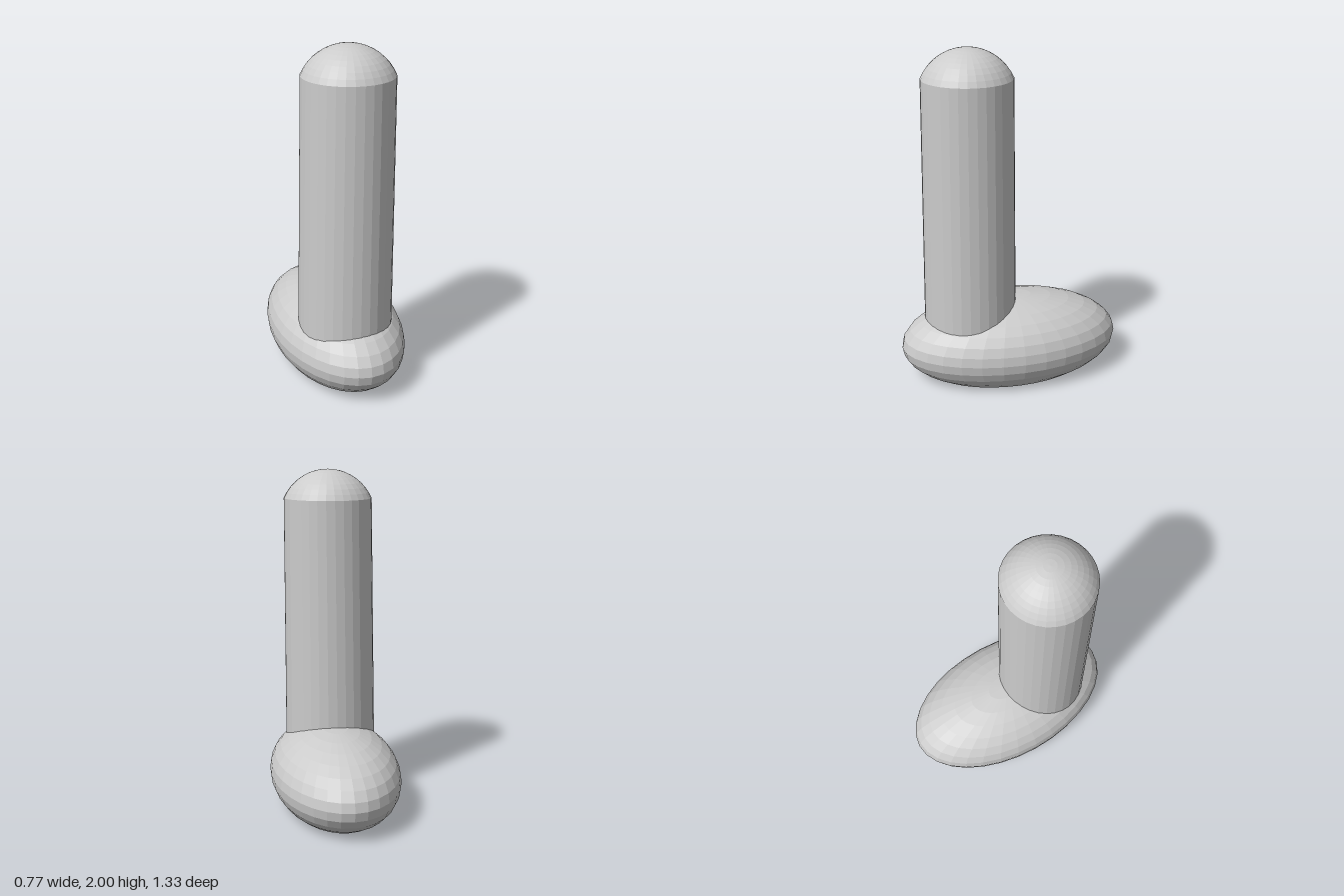
import * as THREE from 'three';

const SIDES = 32;

export function createModel() {
  const group = new THREE.Group();
  const material = new THREE.MeshStandardMaterial({ color: 0xcccccc, flatShading: true });
  const add = (name, geometry, x, y, z) => {
    const mesh = new THREE.Mesh(geometry, material);
    mesh.name = name;
    mesh.position.set(x, y, z);
    group.add(mesh);
    return mesh;
  };

  // Foot: ellipsoid cut off flat at the ground, 45 degrees below its equator
  const rx = 0.387, ry = 0.2 * Math.SQRT2, rz = 0.667;
  const foot = new THREE.SphereGeometry(1, SIDES, 12, 0, Math.PI * 2, 0, Math.PI * 0.75);
  foot.scale(rx, ry, rz);
  add('foot', foot, 0, 0.2, 0);

  // Sole: flat ellipse closing the cut
  const sole = new THREE.CircleGeometry(Math.SQRT1_2, SIDES);
  sole.rotateX(Math.PI / 2);
  sole.scale(rx, 1, rz);
  add('sole', sole, 0, 0, 0);

  // Leg: slightly tapered column whose lower end drifts to the right
  const legBottom = 0.33, legTop = 1.83, topRadius = 0.262, legZ = 0.243;
  const height = legTop - legBottom;
  const leg = new THREE.CylinderGeometry(topRadius, 0.276, height, SIDES, 1, true);
  leg.translate(0, -height / 2, 0);
  const p = leg.attributes.position;
  for (let i = 0; i < p.count; i++) p.setX(i, p.getX(i) + 0.014 * p.getY(i) / height);
  add('leg', leg, 0, legTop, legZ);

  // Rounded top: shallow spherical cap
  const rise = 2 - legTop;
  const capRadius = (topRadius ** 2 + rise ** 2) / (2 * rise);
  const cap = new THREE.SphereGeometry(capRadius, SIDES, 9, 0, Math.PI * 2, 0, Math.asin(topRadius / capRadius));
  add('roundedTop', cap, 0, 2 - capRadius, legZ);

  return group;
}
